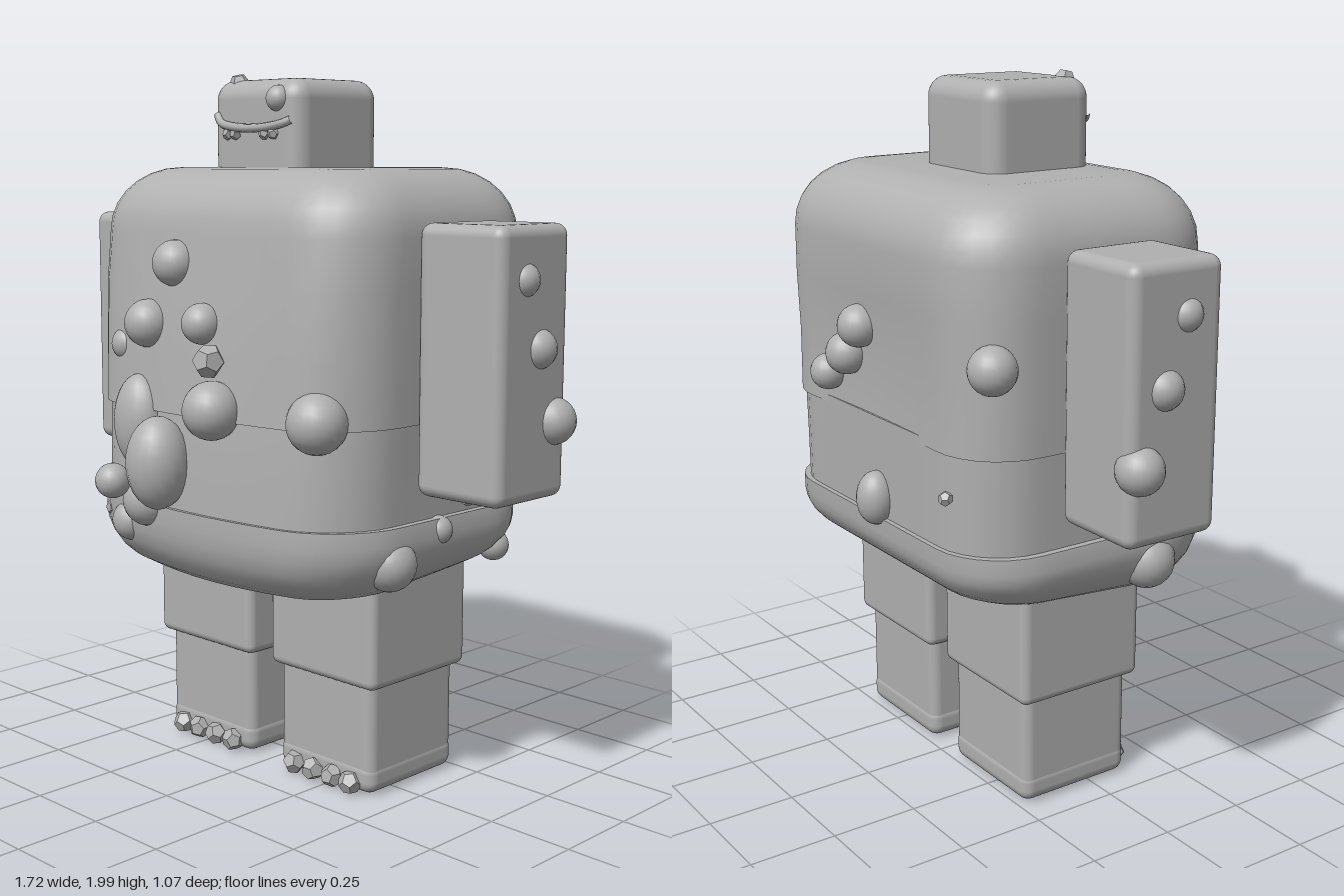
import * as THREE from 'three';
import { toCreasedNormals } from 'three/addons/utils/BufferGeometryUtils.js';
import { RoundedBoxGeometry } from 'three/addons/geometries/RoundedBoxGeometry.js';

const skin = new THREE.MeshStandardMaterial({ color: 0xb0b0b0 });
skin.name = 'grey skin';

// Rounded-rectangle ring as [x, z]; the front bulges and the back dents towards the middle
function ring({ hw, zf, zb, r, bulge = 0, dent = 0 }) {
  const pts = [], mid = (zf + zb) / 2, hd = (zf - zb) / 2, edge = 8;
  const corners = [[1, 1], [-1, 1], [-1, -1], [1, -1]];
  const at = (k, s) => {
    const a = (k + s) * Math.PI / 2, [sx, sz] = corners[k % 4];
    return [sx * (hw - r) + r * Math.cos(a), mid + sz * (hd - r) + r * Math.sin(a)];
  };
  for (let k = 0; k < 4; k++) {
    for (let i = 0; i <= 7; i++) pts.push(at(k, i / 7));
    const p = at(k, 1), q = at(k + 1, 0);
    for (let i = 1; i < edge; i++) {
      const t = i / edge;
      pts.push([p[0] + (q[0] - p[0]) * t, p[1] + (q[1] - p[1]) * t]);
    }
  }
  return pts.map(([x, z]) => {
    const s = (z - mid) / hd, c = Math.cos((x / hw) * Math.PI / 2);
    return [x, z + c * (s > 0 ? s * bulge : -s * dent)];
  });
}

// Closed body through rows listed from bottom to top
function loft(rows) {
  const pos = [], index = [];
  const rings = rows.map(ring);
  const n = rings[0].length;
  const push = (pts, row, k) => pts.forEach(([x, z]) =>
    pos.push(x * k, row.y - (row.tilt || 0) * z * k, z * k));
  push(rings[0], rows[0], 0.001);
  rings.forEach((p, i) => push(p, rows[i], 1));
  push(rings.at(-1), rows.at(-1), 0.001);
  for (let j = 0; j <= rows.length; j++) {
    for (let i = 0; i < n; i++) {
      const a = j * n + i, b = j * n + (i + 1) % n;
      index.push(a, a + n, b, b, a + n, b + n);
    }
  }
  const g = new THREE.BufferGeometry();
  g.setAttribute('position', new THREE.Float32BufferAttribute(pos, 3));
  g.setIndex(index);
  return toCreasedNormals(g, 0.7);
}

export function createModel() {
  const model = new THREE.Group();
  model.name = 'lumpyGiant';

  const add = (name, geometry, x = 0, y = 0, z = 0) => {
    const m = new THREE.Mesh(geometry, skin);
    m.name = name;
    m.position.set(x, y, z);
    model.add(m);
    return m;
  };
  // Box given by its limits on each axis
  const box = (name, x0, x1, y0, y1, z0, z1, r) => add(name,
    new RoundedBoxGeometry(x1 - x0, y1 - y0, z1 - z0, 4, r),
    (x0 + x1) / 2, (y0 + y1) / 2, (z0 + z1) / 2);
  const ball = (name, x, y, z, r, sx = 1, sy = 1, sz = 1) => {
    const m = add(name, new THREE.SphereGeometry(r, 20, 14), x, y, z);
    m.scale.set(sx, sy, sz);
    return m;
  };
  const nub = (name, x, y, z, r) => {
    const m = add(name, new THREE.DodecahedronGeometry(r), x, y, z);
    m.rotation.set(x * 9, y * 5, z * 7);
    return m;
  };

  // Chest, rounded over at the top
  const chest = [
    { y: 1.07, hw: 0.535, zf: 0.352, zb: -0.475, r: 0.2, bulge: 0.055, dent: 0.02 },
    { y: 1.25, hw: 0.535, zf: 0.35, zb: -0.477, r: 0.2, bulge: 0.04, dent: 0.03 },
    { y: 1.42, hw: 0.535, zf: 0.35, zb: -0.478, r: 0.2, bulge: 0.018, dent: 0.012 },
  ];
  for (let i = 0; i <= 7; i++) {
    const a = i / 7 * Math.PI / 2, inset = 0.18 * (1 - Math.cos(a));
    chest.push({ y: 1.56 + 0.18 * Math.sin(a), hw: 0.535 - inset, zf: 0.345 - inset,
      zb: -0.478 + inset, r: 0.21 - inset * 0.6 });
  }
  add('chest', loft(chest));

  // Waist, slightly narrower than the parts above and below
  add('waist', loft([
    { y: 0.75, hw: 0.52, zf: 0.345, zb: -0.455, r: 0.19, bulge: 0.065 },
    { y: 0.95, hw: 0.52, zf: 0.345, zb: -0.458, r: 0.19, bulge: 0.06 },
    { y: 1.09, hw: 0.522, zf: 0.342, zb: -0.46, r: 0.19, bulge: 0.05 },
  ]));

  // Belly, a sagging bowl that hangs lower at the front
  const belly = [];
  for (let i = 0; i <= 7; i++) {
    const a = (1 - i / 7) * Math.PI / 2, inset = 0.17 * (1 - Math.cos(a));
    belly.push({ y: 0.76 - 0.16 * Math.sin(a), hw: 0.55 - inset, zf: 0.35 - inset,
      zb: -0.468 + inset, r: 0.21 - inset * 0.5, bulge: 0.07, tilt: 0.08 * Math.sin(a) });
  }
  belly.push({ y: 0.805, hw: 0.54, zf: 0.35, zb: -0.47, r: 0.2, bulge: 0.07 });
  add('belly', loft(belly));

  // Head with a lip, teeth and lumps
  box('head', -0.175, 0.172, 1.68, 1.98, -0.18, 0.16, 0.055);
  const lip = new THREE.CatmullRomCurve3([[-0.145, 1.885, 0.155], [-0.12, 1.862, 0.165],
    [-0.04, 1.848, 0.17], [0.05, 1.848, 0.17], [0.12, 1.858, 0.165], [0.145, 1.868, 0.155]]
    .map((p) => new THREE.Vector3(...p)));
  add('lip', new THREE.TubeGeometry(lip, 24, 0.012, 8));
  for (const x of [-0.095, -0.065, 0.05, 0.085]) nub('tooth', x, 1.832, 0.162, 0.018);
  ball('headLump', 0.093, 1.925, 0.15, 0.036);
  nub('headNub', -0.105, 1.972, 0.11, 0.028);

  // Arms and legs, mirrored
  for (const s of [1, -1]) {
    const side = s > 0 ? 'left' : 'right';
    const span = (a, b) => (s > 0 ? [a, b] : [-b, -a]);
    box(side + 'Arm', ...span(0.53, 0.81), 0.88, 1.6, -0.21, 0.08, 0.032);
    ball(side + 'ArmWart', s * 0.79, 1.46, -0.03, 0.046);
    ball(side + 'ArmWart', s * 0.79, 1.28, -0.095, 0.055);
    ball(side + 'ArmWart', s * 0.795, 1.085, -0.165, 0.064);
    for (const z of [0.02, -0.02, -0.06]) nub(side + 'Claw', s * 0.665, 0.88, z, 0.016);
    box(side + 'Thigh', ...span(0.04, 0.443), 0.325, 0.67, -0.26, 0.14, 0.025);
    box(side + 'Shin', ...span(0.06, 0.418), 0.04, 0.38, -0.237, 0.117, 0.03);
    box(side + 'Foot', ...span(0.057, 0.42), 0.015, 0.108, -0.24, 0.12, 0.035);
    for (const x of [0.13, 0.205, 0.28, 0.35]) nub(side + 'Toe', s * x, 0.045, 0.128, 0.034);
  }

  // Smooth warts: x, y, z, radius, then optional stretch
  const warts = [
    [-0.11, 1.48, 0.35, 0.065], [-0.2, 1.31, 0.375, 0.068], [0.035, 1.325, 0.385, 0.056],
    [0.11, 1.1, 0.42, 0.08], [0.42, 1.09, 0.335, 0.082],
    [-0.09, 0.935, 0.44, 0.09, 1, 1.45, 1], [-0.24, 0.87, 0.48, 0.05],
    [-0.23, 1.03, 0.385, 0.085, 1, 1.6, 0.8], [-0.33, 1.24, 0.34, 0.05],
    [-0.19, 0.81, 0.39, 0.075], [-0.3, 0.73, 0.36, 0.06],
    [-0.5, 0.7, 0.11, 0.08], [-0.535, 1.025, 0.11, 0.05],
    [0.5, 0.7, 0.14, 0.075], [0.525, 0.77, -0.03, 0.04], [0.48, 0.67, -0.33, 0.045],
    [-0.5, 1.31, -0.4, 0.065],
    [0.05, 1.33, -0.465, 0.06], [0.12, 1.24, -0.465, 0.06], [0.21, 1.17, -0.475, 0.052],
    [-0.03, 0.86, -0.47, 0.055, 1, 1.4, 1],
  ];
  for (const w of warts) ball('wart', ...w);

  // Faceted nubs
  nub('bodyNub', 0.09, 1.23, 0.41, 0.046);
  nub('bodyNub', -0.385, 0.755, 0.36, 0.025);
  nub('bodyNub', -0.465, 0.99, -0.52, 0.02);
  return model;
}
